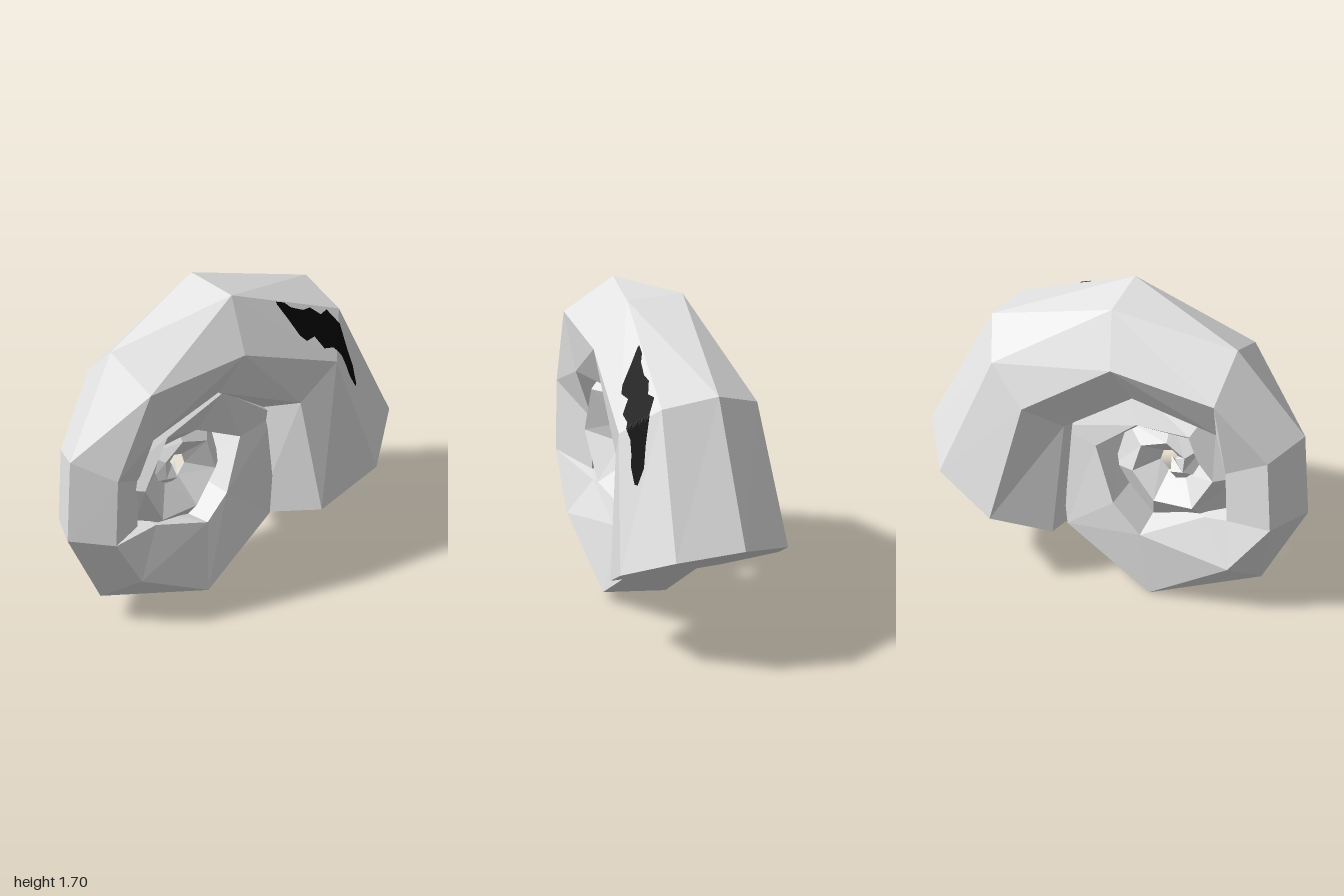
import * as THREE from 'three';

const RAD = Math.PI / 180;

// A cross-section: centre, outward direction, radii in the spiral plane and along z, sides, phase
function makeRing([cx, cy, out, r, rz, sides, phase]) {
  const at = (i) => {
    const t = (phase + (i * 360) / sides) * RAD;
    const d = r * Math.cos(t);
    return new THREE.Vector3(cx + d * Math.cos(out * RAD), cy + d * Math.sin(out * RAD), rz * Math.sin(t));
  };
  return {
    sides, at,
    angle: (i) => phase + (i * 360) / sides,
    centre: new THREE.Vector3(cx, cy, 0),
    forward: new THREE.Vector3(-Math.sin(out * RAD), Math.cos(out * RAD), 0),
  };
}

// Joins two rings that may have different numbers of sides
function stitch(a, b, tris) {
  let i = 0, j = 0;
  while (i < a.sides || j < b.sides) {
    const stepA = j >= b.sides || (i < a.sides && a.angle(i + 1) <= b.angle(j + 1));
    if (stepA) {
      tris.push(a.at(i), b.at(j), a.at(i + 1));
      i++;
    } else {
      tris.push(a.at(i), b.at(j), b.at(j + 1));
      j++;
    }
  }
}

function fromTriangles(tris) {
  const g = new THREE.BufferGeometry().setFromPoints(tris);
  g.computeVertexNormals();
  return g;
}

function buildRings() {
  // Outer whorl, from the mouth round to where it passes under it
  const specs = [
    [0.6, 0.485, 27.7, 0.455, 0.465, 8, -11],
    [0.43, 1.155, 46, 0.36, 0.39, 8, -11],
    [-0.06, 1.425, 79, 0.31, 0.3, 6, -32],
    [-0.6, 1.28, 100, 0.27, 0.26, 5, -10],
    [-0.77, 0.93, 148, 0.25, 0.195, 5, 8],
    [-0.78, 0.57, 172, 0.22, 0.195, 5, 8],
    [-0.61, 0.36, 235, 0.25, 0.21, 5, 0],
    [-0.19, 0.205, 265, 0.265, 0.24, 4, -38],
    [0.09, 0.42, 320, 0.24, 0.24, 4, -40],
    [0.18, 0.84, 372, 0.16, 0.2, 4, -40],
  ];
  // Inner whorls shrink at a steady rate, overlap and close up at the core
  const count = 12;
  for (let k = 1; k <= count; k++) {
    const s = Math.pow(0.88, k);
    const a = (10 + k * 55) * RAD;
    const dist = 0.43 * s * (1 - Math.pow(k / count, 8));
    const end = k === count ? 0.05 : 1;
    const r = Math.min(0.19 + 0.018 * k, 0.28) * s * end;
    specs.push([
      -0.27 + dist * Math.cos(a), 0.74 + dist * Math.sin(a),
      a / RAD, r, 0.2 * s * end, 4, k === 1 ? -25 : -5,
    ]);
  }
  return specs.map(makeRing);
}

// Black crack, laid on the front of the shell as a thin skin
function crackGeometry(shell) {
  // outer edge x, y, inner edge x, y
  const rows = [
    [0.25, 1.558, 0.25, 1.545], [0.3, 1.534, 0.28, 1.47], [0.33, 1.5, 0.31, 1.385],
    [0.4, 1.46, 0.34, 1.35], [0.45, 1.45, 0.4, 1.345], [0.5, 1.4, 0.43, 1.28],
    [0.55, 1.4, 0.49, 1.26], [0.595, 1.32, 0.54, 1.19], [0.615, 1.19, 0.565, 1.12],
    [0.64, 1.07, 0.58, 1.06], [0.635, 0.98, 0.62, 0.98],
  ];
  const ray = new THREE.Raycaster();
  const back = new THREE.Vector3(0, 0, -1);
  const steps = 60, across = 8;
  const point = (u, v) => {
    const f = (u / steps) * (rows.length - 1);
    const n = Math.min(Math.floor(f), rows.length - 2);
    const r = rows[n].map((value, k) => THREE.MathUtils.lerp(value, rows[n + 1][k], f - n));
    const x = THREE.MathUtils.lerp(r[0], r[2], v / across);
    const y = THREE.MathUtils.lerp(r[1], r[3], v / across);
    ray.set(new THREE.Vector3(x, y, 3), back);
    const hit = ray.intersectObject(shell)[0];
    return hit ? hit.point.addScaledVector(hit.face.normal, 0.006) : new THREE.Vector3(x, y, 0.16);
  };
  const grid = [];
  for (let u = 0; u <= steps; u++) {
    grid.push(Array.from({ length: across + 1 }, (_, v) => point(u, v)));
  }
  const tris = [];
  for (let u = 0; u < steps; u++) {
    for (let v = 0; v < across; v++) {
      const a = grid[u][v], b = grid[u][v + 1], c = grid[u + 1][v + 1], d = grid[u + 1][v];
      tris.push(a, b, c, a, c, d);
    }
  }
  return fromTriangles(tris);
}

export function createModel() {
  const stone = new THREE.MeshStandardMaterial({ color: 0xe7e7e7, flatShading: true });
  stone.name = 'pale grey';
  const black = new THREE.MeshStandardMaterial({ color: 0x030303, side: THREE.DoubleSide });
  black.name = 'black';

  const group = new THREE.Group();
  group.name = 'spiralShell';
  const add = (name, geometry, material) => {
    const mesh = new THREE.Mesh(geometry, material);
    mesh.name = name;
    group.add(mesh);
    return mesh;
  };

  // Coiled tube
  const rings = buildRings();
  const tube = [];
  for (let i = 0; i < rings.length - 1; i++) stitch(rings[i], rings[i + 1], tube);
  const shell = add('coiledShell', fromTriangles(tube), stone);

  // Slightly dished cap over the mouth
  const mouth = rings[0];
  const sunk = mouth.centre.clone().addScaledVector(mouth.forward, 0.015);
  const inner = (i) => mouth.at(i).lerp(mouth.centre, 0.4).addScaledVector(mouth.forward, 0.015);
  const cap = [];
  for (let i = 0; i < mouth.sides; i++) {
    const a = mouth.at(i), b = mouth.at(i + 1), c = inner(i), d = inner(i + 1);
    cap.push(c, a, b, c, b, d, sunk, c, d);
  }
  add('mouthCap', fromTriangles(cap), stone);

  add('crack', crackGeometry(shell), black);
  return group;
}
